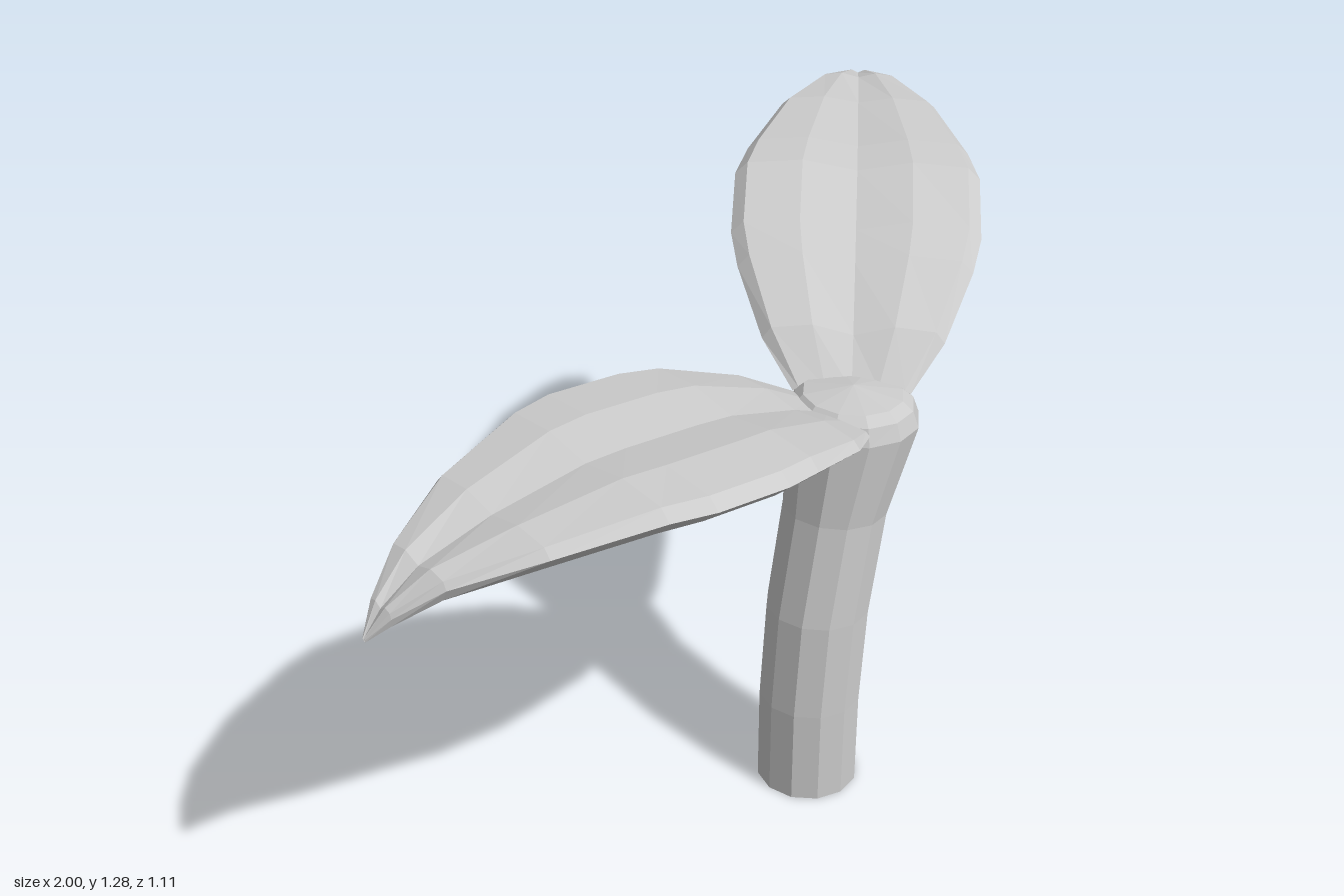
import * as THREE from 'three';

const material = new THREE.MeshStandardMaterial({
  color: 0xcccccc, flatShading: true, side: THREE.DoubleSide,
});

// Skin a list of equal-length cross-sections (arrays of [x, y, z])
function loft(sections, name) {
  const n = sections[0].length;
  const index = [];
  for (let i = 0; i < sections.length - 1; i++) {
    for (let j = 0; j < n - 1; j++) {
      const a = i * n + j, b = a + n;
      index.push(a, b, a + 1, b, b + 1, a + 1);
    }
  }
  const geometry = new THREE.BufferGeometry();
  geometry.setAttribute('position', new THREE.Float32BufferAttribute(sections.flat(2), 3));
  geometry.setIndex(index);
  geometry.computeVertexNormals();
  const mesh = new THREE.Mesh(geometry, material);
  mesh.name = name;
  return mesh;
}

// Twelve-sided ring, leaning slightly to +x
function ring([x, y, r, tilt]) {
  return Array.from({ length: 13 }, (_, i) => {
    const a = (i / 12) * Math.PI * 2;
    const dx = -Math.sin(a) * r;
    return [x + dx, y - dx * tilt, 0.275 + Math.cos(a) * r];
  });
}

// Leaf stations: fraction of length, half width
const STATIONS = [
  [0, 0.125], [0.085, 0.195], [0.235, 0.257], [0.315, 0.276], [0.47, 0.276],
  [0.555, 0.252], [0.745, 0.18], [0.89, 0.09], [0.965, 0.035], [1, 0.004],
];
// Half cross-section: fraction of half width, fraction of drop from ridge to rim;
// runs from the top crease over the edge to the middle of the underside
const PROFILE = [[0, 0.28], [0.45, 0], [0.9, 0.12], [1, 0.45], [0.84, 1], [0, 0.85]];

// Domed leaf with a central crease, a tucked-in rim and a flat underside
function leaf(name, base, tip, ridge, rim) {
  const dx = tip[0] - base[0], dz = tip[1] - base[1];
  const length = Math.hypot(dx, dz);
  const full = [
    ...PROFILE.slice(1).reverse().map(([w, d]) => [-w, d]),
    ...PROFILE,
  ];
  const sections = STATIONS.map(([t, half], i) => full.map(([w, d]) => {
    const across = (w * half) / length;
    return [
      base[0] + dx * t - dz * across,
      ridge[i] + (rim[i] - ridge[i]) * d,
      base[1] + dz * t + dx * across,
    ];
  }));
  return loft(sections, name);
}

export function createModel() {
  const model = new THREE.Group();
  model.name = 'sprout';

  // Bent stem with a flared head, closed at the foot
  model.add(loft([
    [0.115, 0, 0, 0], [0.115, 0, 0.115, 0], [0.115, 0.23, 0.115, 0],
    [0.13, 0.46, 0.115, 0.03], [0.17, 0.7, 0.115, 0.06], [0.213, 0.902, 0.143, 0.03],
  ].map(ring), 'stem'));

  // Low rounded bud on top of the stem
  model.add(loft([
    [0.213, 0.902, 0.143, 0.03], [0.212, 0.94, 0.13, 0.04],
    [0.21, 0.96, 0.108, 0.04], [0.21, 0.977, 0, 0],
  ].map(ring), 'bud'));

  // Drooping leaf on the right
  model.add(leaf('rightLeaf', [0.14, 0.275], [-1, 0.275],
    [0.942, 0.99, 1.045, 1.057, 1.072, 1.075, 1.045, 1.0, 0.94, 0.885],
    [0.922, 0.943, 0.975, 0.985, 1.0, 1.002, 0.985, 0.95, 0.905, 0.875]));

  // Raised leaf reaching to the back left
  model.add(leaf('leftLeaf', [0.23, 0.25], [1, -0.555],
    [0.952, 1.05, 1.14, 1.178, 1.246, 1.262, 1.28, 1.28, 1.258, 1.205],
    [0.928, 0.97, 1.055, 1.095, 1.165, 1.192, 1.233, 1.242, 1.232, 1.2]));

  return model;
}
